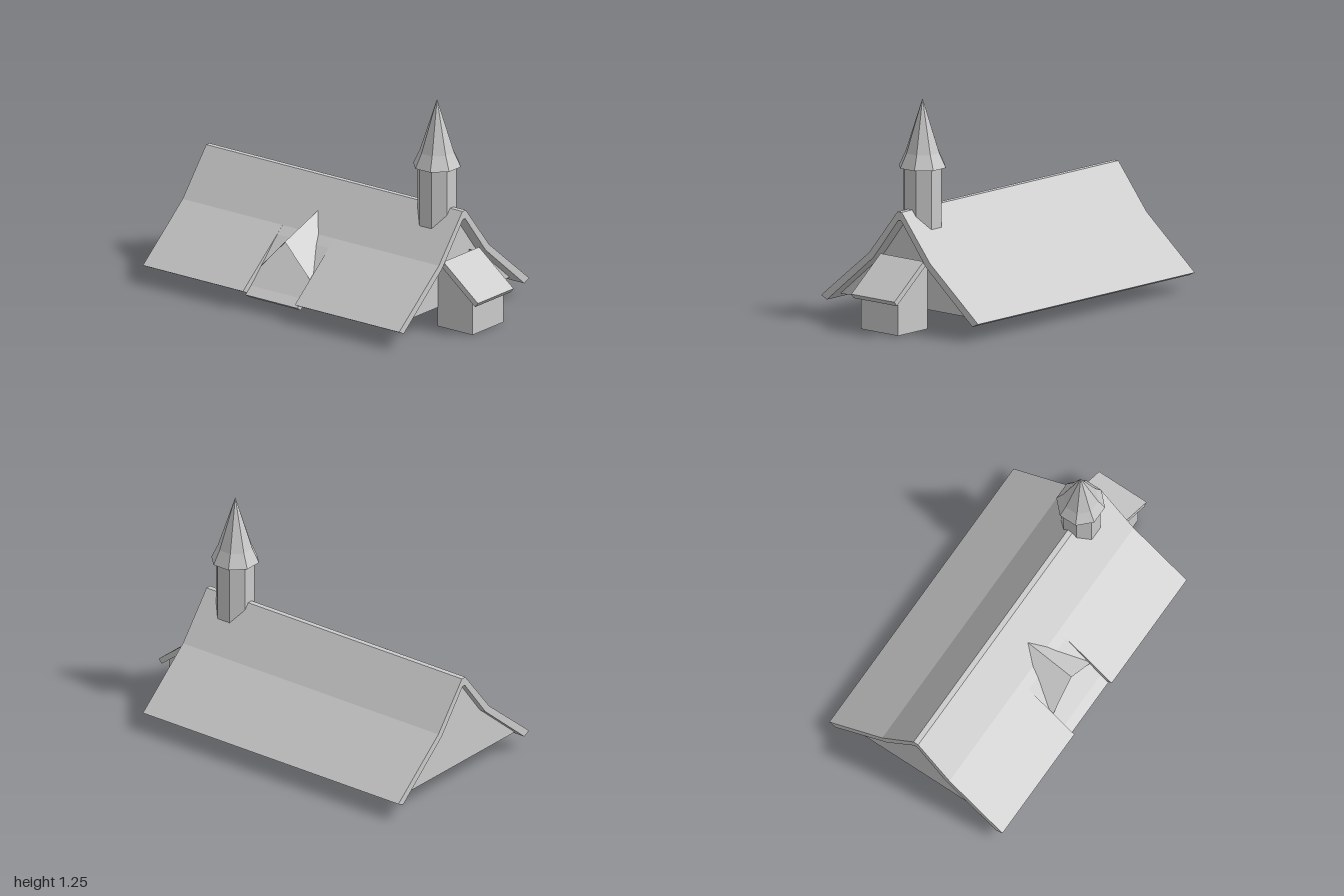
import * as THREE from 'three';

const mat = new THREE.MeshStandardMaterial({ color: 0xcccccc, flatShading: true });
const thin = new THREE.MeshStandardMaterial({ color: 0xcccccc, flatShading: true, side: THREE.DoubleSide });

function add(parent, name, geometry, material = mat) {
  const mesh = new THREE.Mesh(geometry, material);
  mesh.name = name;
  parent.add(mesh);
  return mesh;
}

const shapeOf = (pts) => new THREE.Shape(pts.map(([x, y]) => new THREE.Vector2(x, y)));

// Extrude an x,y profile between two z positions
function extrudeZ(pts, z0, z1) {
  const g = new THREE.ExtrudeGeometry(shapeOf(pts), { depth: z1 - z0, bevelEnabled: false });
  return g.translate(0, 0, z0);
}

// Extrude a z,y profile symmetrically across x
function extrudeX(pts, halfWidth) {
  return extrudeZ(pts.map(([z, y]) => [-z, y]), -halfWidth, halfWidth).rotateY(Math.PI / 2);
}

// Surface from flat polygons
function facets(polys) {
  const pos = [];
  for (const p of polys)
    for (let i = 1; i < p.length - 1; i++) pos.push(...p[0], ...p[i], ...p[i + 1]);
  const g = new THREE.BufferGeometry();
  g.setAttribute('position', new THREE.Float32BufferAttribute(pos, 3));
  g.computeVertexNormals();
  return g;
}

// Eight-sided lathe with flat sides facing the axes; radii are across the flats
function octagon(pts) {
  const k = 1 / Math.cos(Math.PI / 8);
  return new THREE.LatheGeometry(pts.map(([r, y]) => new THREE.Vector2(r * k, y)), 8, Math.PI / 8);
}

export function createModel() {
  const model = new THREE.Group();
  model.name = 'chapel';

  // Main roof: bent slab, with a steeper, thinner lowered panel under the dormer
  const outer = [[0.572, 0.1], [0.222, 0.388], [0.015, 0.645]];
  const inner = [[0.01, 0.597], [0.19, 0.365], [0.53, 0.08]];
  const mirror = (pts) => pts.map(([x, y]) => [-x, y]).reverse();
  const plain = [...outer, ...mirror(outer), ...mirror(inner), ...inner];
  const lowered = [
    ...outer, [-0.015, 0.645], [-0.222, 0.388], [-0.27, 0.347], [-0.5, 0.115], [-0.55, 0.075],
    [-0.52, 0.055], [-0.47, 0.097], [-0.46, 0.14], [-0.27, 0.333], [-0.14, 0.465], [-0.01, 0.597], ...inner,
  ];
  const roof = new THREE.Group();
  roof.name = 'mainRoof';
  model.add(roof);
  add(roof, 'rearRoof', extrudeZ(plain, -1, -0.305));
  add(roof, 'middleRoof', extrudeZ(lowered, -0.305, 0.055));
  add(roof, 'frontRoof', extrudeZ(plain, 0.055, 0.78));

  // Gable walls set in from each end of the roof
  const gable = [[-0.5, 0.108], [0.5, 0.108], [0.19, 0.367], [0.01, 0.6], [-0.01, 0.6], [-0.19, 0.367]];
  for (const [name, z] of [['frontGable', 0.705], ['rearGable', -0.96]])
    add(model, name, new THREE.ShapeGeometry(shapeOf(gable)).translate(0, 0, z), thin);

  // Dormer, open in front: rising ridge with two wings that run through the roof
  const zc = -0.125;
  const A = [-0.43, 0.387, zc], B = [-0.13, 0.492, zc];
  const foot = (p, side, drop) => [p[0], p[1] - drop, zc + side * drop * 0.95];
  add(model, 'dormerRoof', facets([
    [A, foot(A, 1, 0.187), foot(B, 1, 0.21), B],
    [A, B, foot(B, -1, 0.21), foot(A, -1, 0.187)],
  ]), thin);

  // Bell tower, open below, and its spire
  const tower = new THREE.Group();
  tower.name = 'bellTower';
  tower.position.z = 0.592;
  model.add(tower);
  add(tower, 'towerShaft', octagon([[0.102, 0.41], [0.102, 0.87]]), thin);
  add(tower, 'spire', octagon([[0, 0.87], [0.125, 0.87], [0.09, 0.95], [0, 1.25]]));

  // Entrance porch: three thin walls, open below, with a lean-to roof
  const porch = new THREE.Group();
  porch.name = 'porch';
  model.add(porch);
  const side = (x) => [[x, 0, 0.703], [x, 0, 0.945], [x, 0.205, 0.945], [x, 0.37, 0.74], [x, 0.37, 0.703]];
  const [left, right] = [side(0.136), side(-0.136)];
  add(porch, 'porchWalls', facets([left, right, [right[1], left[1], left[2], right[2]]]), thin);
  add(porch, 'porchRoof', extrudeX([[1, 0.2], [0.76, 0.388], [0.74, 0.363], [0.98, 0.175]], 0.157));

  return model;
}
